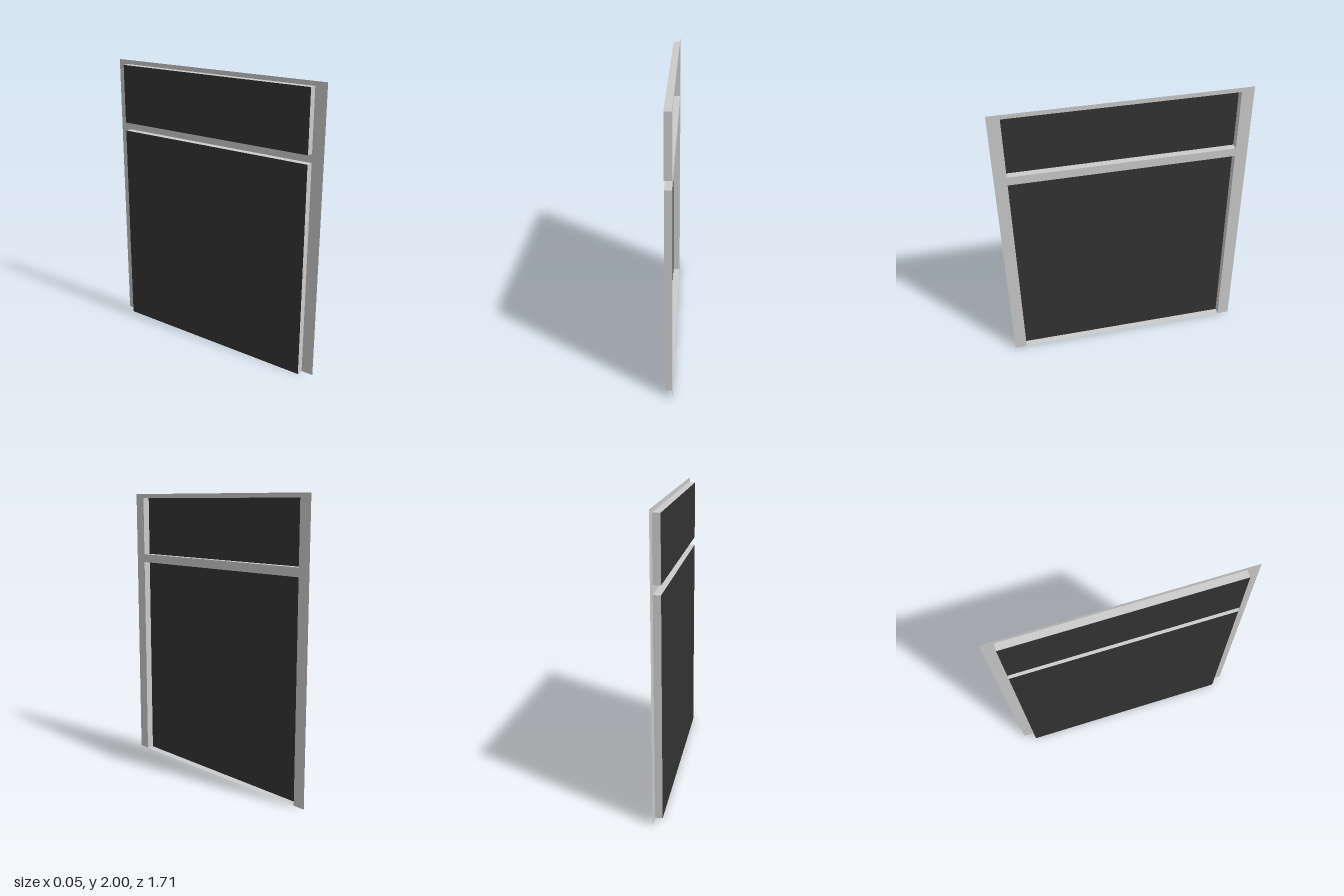
import * as THREE from 'three';

const HALF_DEPTH = 0.025; // frame sheet sits at +HALF_DEPTH, panes at -HALF_DEPTH
const HALF_WIDTH = 0.855;
const HEIGHT = 2;
const PANE_HALF = 0.77;
const LOWER = { name: 'lower', y0: 0, y1: 1.49 };
const UPPER = { name: 'upper', y0: 1.55, y1: 1.97 };

const grey = new THREE.MeshStandardMaterial({ color: 0xcccccc, side: THREE.DoubleSide });
const dark = new THREE.MeshStandardMaterial({ color: 0x333333, side: THREE.DoubleSide });

function addMesh(parent, name, geometry, material, x, y, z) {
  const mesh = new THREE.Mesh(geometry, material);
  mesh.name = name;
  mesh.position.set(x, y, z);
  parent.add(mesh);
  return mesh;
}

// Flat surround: legs reach the ground either side of the lower opening
function surroundGeometry() {
  const shape = new THREE.Shape([
    [-HALF_WIDTH, 0], [-PANE_HALF, 0], [-PANE_HALF, LOWER.y1], [PANE_HALF, LOWER.y1],
    [PANE_HALF, 0], [HALF_WIDTH, 0], [HALF_WIDTH, HEIGHT], [-HALF_WIDTH, HEIGHT],
  ].map(([x, y]) => new THREE.Vector2(x, y)));
  shape.holes.push(new THREE.Path([
    [-PANE_HALF, UPPER.y0], [-PANE_HALF, UPPER.y1], [PANE_HALF, UPPER.y1], [PANE_HALF, UPPER.y0],
  ].map(([x, y]) => new THREE.Vector2(x, y))));
  return new THREE.ShapeGeometry(shape);
}

// Open tray: four thin reveals around a dark pane at the back
function recess({ name, y0, y1 }) {
  const group = new THREE.Group();
  group.name = `${name}Recess`;
  const width = 2 * PANE_HALF, height = y1 - y0, depth = 2 * HALF_DEPTH, mid = (y0 + y1) / 2;
  addMesh(group, `${name}Pane`, new THREE.PlaneGeometry(width, height), dark, 0, mid, -HALF_DEPTH);
  for (const side of [-1, 1]) {
    const jamb = new THREE.PlaneGeometry(depth, height).rotateY(-side * Math.PI / 2);
    addMesh(group, `${name}Jamb`, jamb, grey, side * PANE_HALF, mid, 0);
    const rail = new THREE.PlaneGeometry(width, depth).rotateX(side * Math.PI / 2);
    addMesh(group, side > 0 ? `${name}Head` : `${name}Sill`, rail, grey, 0, side > 0 ? y1 : y0, 0);
  }
  return group;
}

export function createModel() {
  const model = new THREE.Group();
  model.name = 'panelledWindow';

  // Built facing +z, then turned so the surround faces +x
  const window = new THREE.Group();
  window.name = 'window';
  addMesh(window, 'surround', surroundGeometry(), grey, 0, 0, HALF_DEPTH);
  window.add(recess(LOWER), recess(UPPER));
  window.rotation.y = Math.PI / 2;
  model.add(window);
  return model;
}
